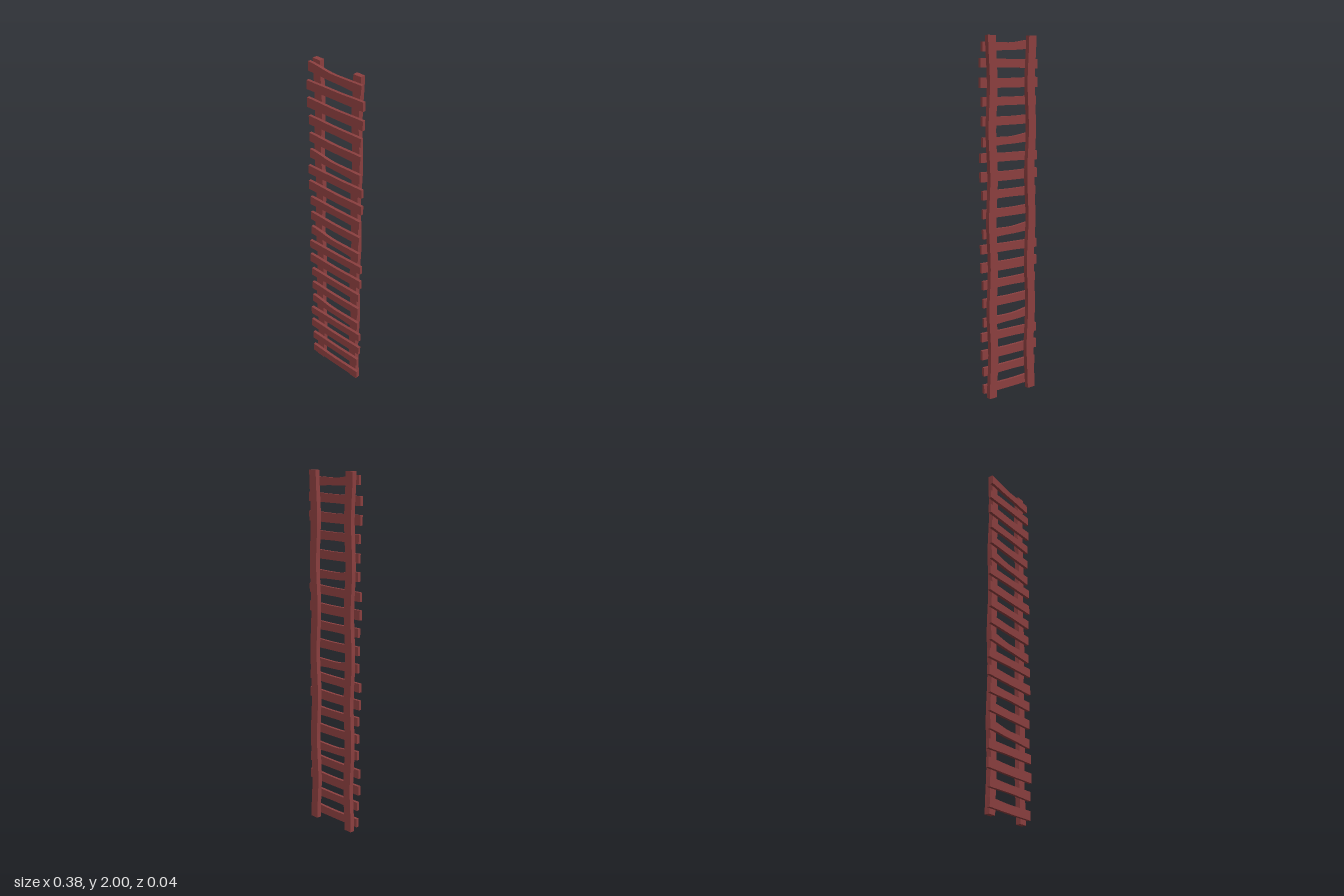
import * as THREE from 'three';

const wood = new THREE.MeshStandardMaterial({ color: 0x8b3f3f });

// Box whose vertices are moved by a rule; normals stay sharp at the edges
function warpedBox(name, size, segments, rule) {
  const geo = new THREE.BoxGeometry(...size, ...segments);
  const pos = geo.attributes.position;
  const v = new THREE.Vector3();
  for (let i = 0; i < pos.count; i++) {
    rule(v.fromBufferAttribute(pos, i));
    pos.setXYZ(i, v.x, v.y, v.z);
  }
  geo.computeVertexNormals();
  const mesh = new THREE.Mesh(geo, wood);
  mesh.name = name;
  return mesh;
}

// Five board shapes repeated up the ladder:
// half length, height, and centre offsets at left end, middle and right end
const boards = [
  { half: 0.18, h: 0.05, y: [0.003, 0, 0.002], waist: 0.004 },
  { half: 0.181, h: 0.05, y: [0.004, 0.005, 0.005], waist: 0.006 },
  { half: 0.192, h: 0.054, y: [0.002, 0.001, 0.005], waist: 0.003 },
  { half: 0.192, h: 0.05, y: [0, 0.004, 0.008], waist: 0.004 },
  { half: 0.178, h: 0.051, y: [0.006, -0.007, -0.009], waist: 0.011 },
];

export function createModel() {
  const group = new THREE.Group();

  // Two upright rails that bow gently in and out
  for (const side of [-1, 1]) {
    const rail = warpedBox(side > 0 ? 'leftRail' : 'rightRail', [0.05, 2, 0.028], [1, 48, 1], (v) => {
      v.y += 1;
      v.x += side * (0.131 + 0.005 * Math.cos(v.y * Math.PI * 4));
    });
    rail.position.z = -0.0095;
    group.add(rail);
  }

  // Cross boards nailed across the front of the rails
  for (let i = 0; i < 20; i++) {
    const { half, h, y, waist } = boards[i % 5];
    const board = warpedBox(`crossBoard${i + 1}`, [half * 2, h, 0.017], [12, 1, 1], (v) => {
      const t = v.x / half;
      const mid = Math.cos(t * Math.PI / 2) ** 2;
      const end = t < 0 ? y[0] : y[2];
      v.y = v.y * (1 - mid * waist / h) + end + (y[1] - end) * mid;
    });
    board.position.set(0, 0.05 + i * 0.1, 0.0125);
    group.add(board);
  }
  return group;
}
